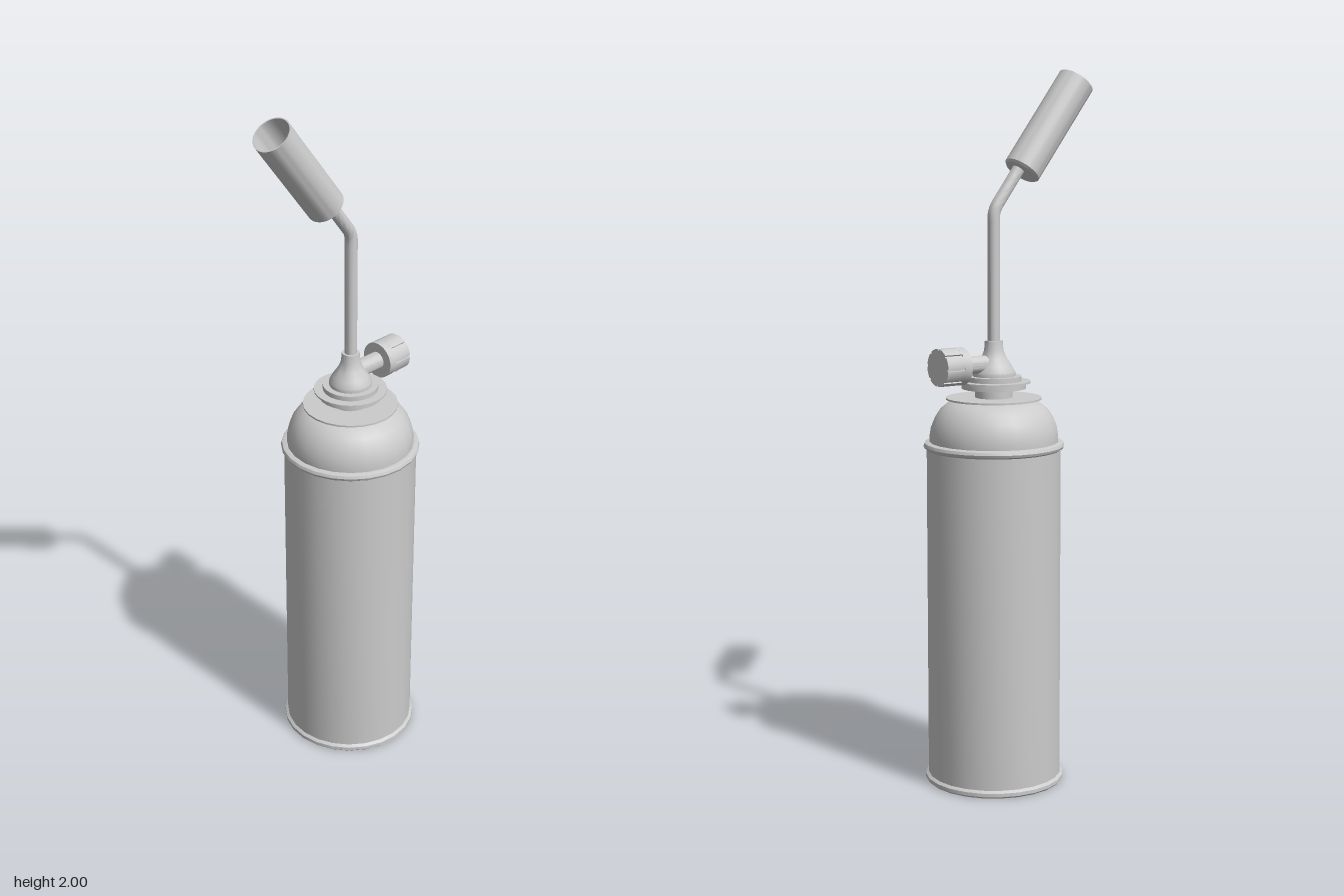
import * as THREE from 'three';
import { toCreasedNormals } from 'three/addons/utils/BufferGeometryUtils.js';

const material = new THREE.MeshStandardMaterial({ color: 0xcccccc, side: THREE.DoubleSide });

export function createModel() {
  const model = new THREE.Group();
  const torch = new THREE.Group();
  torch.name = 'gasTorch';
  torch.position.x = 0.064; // the can stands off-centre, balancing the burner
  model.add(torch);

  const add = (name, geometry, parent = torch) => {
    const mesh = new THREE.Mesh(toCreasedNormals(geometry, 0.5), material);
    mesh.name = name;
    parent.add(mesh);
    return mesh;
  };
  const lathe = (points, segments = 24) =>
    new THREE.LatheGeometry(points.map(([r, y]) => new THREE.Vector2(r, y)), segments);

  // Gas can
  add('canBody', lathe([[0.188, 0.01], [0.188, 0.965]]));
  add('bottomRim', lathe([[0, 0], [0.191, 0], [0.196, 0.005], [0.196, 0.015], [0.188, 0.021]]));
  add('topRim', lathe([
    [0.188, 0.952], [0.194, 0.956], [0.197, 0.963], [0.194, 0.971], [0.187, 0.974], [0.18, 0.974],
  ]));
  add('canShoulder', lathe([
    [0.18, 0.974], [0.18, 0.99], [0.176, 1.015], [0.166, 1.04],
    [0.151, 1.063], [0.13, 1.08], [0.105, 1.09], [0, 1.09],
  ]));
  add('collarPlate', lathe([[0, 1.092], [0.134, 1.092], [0.134, 1.097], [0, 1.097]]));

  // Valve: neck, stepped flanges, cone and pipe socket
  add('valveBody', lathe([
    [0.052, 1.097], [0.052, 1.122], [0.09, 1.122], [0.09, 1.138], [0.103, 1.138], [0.103, 1.143],
    [0.078, 1.143], [0.078, 1.157], [0.06, 1.157], [0.06, 1.167], [0.05, 1.186],
    [0.035, 1.208], [0.027, 1.228], [0.025, 1.255], [0, 1.255],
  ]));

  // Control knob on a side stem
  const control = new THREE.Group();
  control.name = 'controlValve';
  control.position.y = 1.191;
  torch.add(control);
  const stem = add('knobStem', new THREE.CylinderGeometry(0.025, 0.025, 0.13, 20), control);
  stem.rotation.z = -Math.PI / 2;
  stem.position.x = 0.05;
  const collar = add('knobCollar', new THREE.CylinderGeometry(0.052, 0.052, 0.024, 32), control);
  collar.rotation.z = -Math.PI / 2;
  collar.position.x = 0.118;
  // Grip with narrow grooves around it
  const grip = new THREE.Shape();
  const grooves = 8;
  for (let i = 0; i < grooves; i++) {
    for (const [t, r] of [[0, 0.052], [0.28, 0.052], [0.56, 0.052], [0.84, 0.052], [0.85, 0.048], [0.99, 0.048]]) {
      const a = ((i + t) / grooves) * Math.PI * 2;
      grip[i + t ? 'lineTo' : 'moveTo'](r * Math.cos(a), r * Math.sin(a));
    }
  }
  grip.closePath();
  const knob = add('knobGrip', new THREE.ExtrudeGeometry(grip, { depth: 0.057, bevelEnabled: false }), control);
  knob.rotation.y = Math.PI / 2;
  knob.position.x = 0.129;

  // Bent gas pipe
  const pipe = new THREE.CurvePath();
  const p = (x, y) => new THREE.Vector3(x, y, 0);
  pipe.add(new THREE.LineCurve3(p(0, 1.24), p(0, 1.59)));
  pipe.add(new THREE.QuadraticBezierCurve3(p(0, 1.59), p(0, 1.613), p(-0.014, 1.631)));
  pipe.add(new THREE.LineCurve3(p(-0.014, 1.631), p(-0.098, 1.742)));
  add('gasPipe', new THREE.TubeGeometry(pipe, 48, 0.0175, 16));

  // Hollow burner tube, open at the far end
  const start = p(-0.093, 1.717), end = p(-0.283, 1.966);
  const length = start.distanceTo(end);
  const burner = add('burnerTube', lathe([
    [0, 0], [0.047, 0], [0.053, 0.006], [0.053, length],
    [0.05, length], [0.05, 0.02], [0, 0.02],
  ], 32));
  burner.position.copy(start);
  burner.quaternion.setFromUnitVectors(new THREE.Vector3(0, 1, 0), end.sub(start).normalize());

  return model;
}
